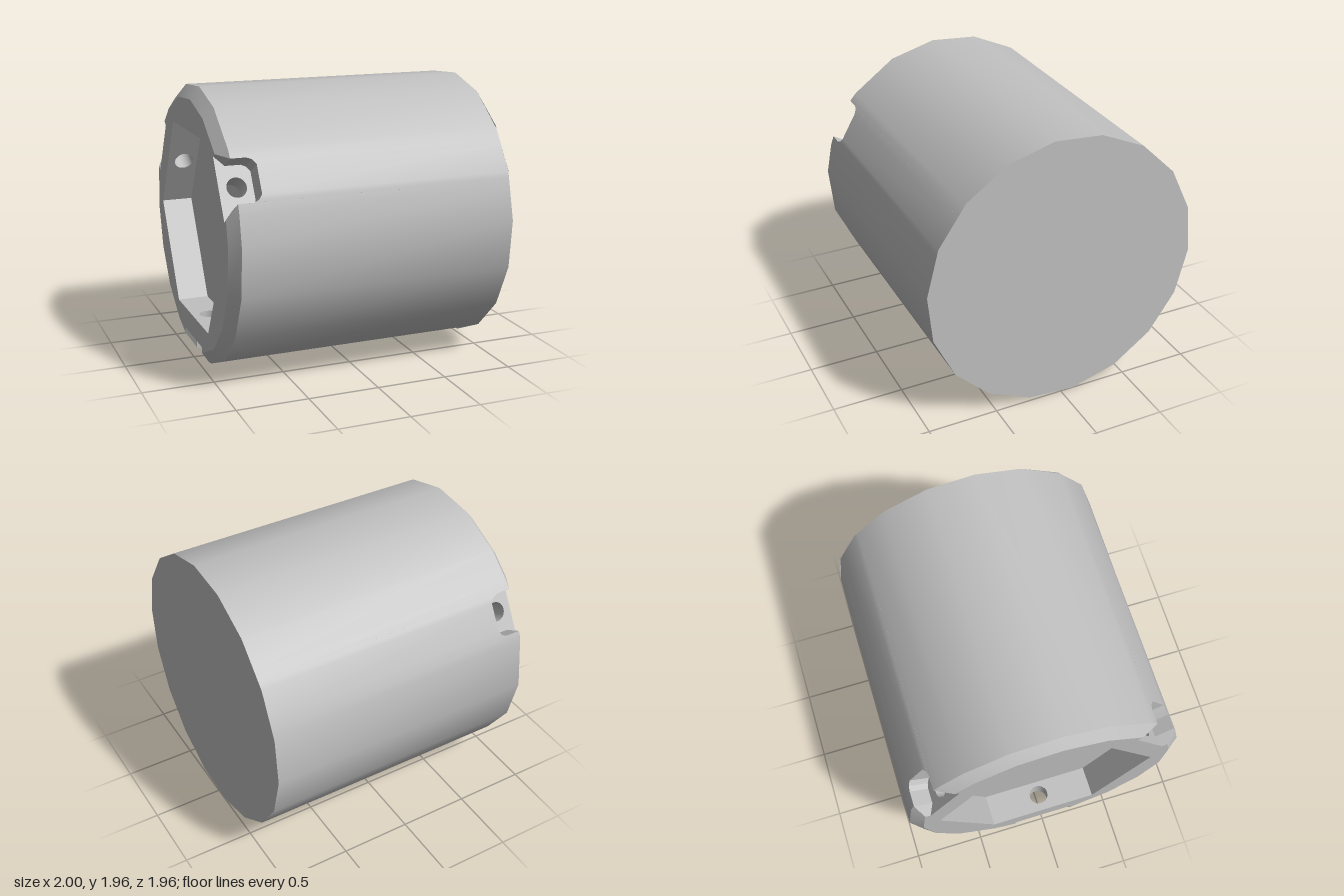
import * as THREE from 'three';
import { toCreasedNormals } from 'three/addons/utils/BufferGeometryUtils.js';

const R = 0.985, RIM = 0.9, CHAMFER_X = -0.935; // barrel radius, end rim radius, chamfer start
const FLOOR = 0.83, POCKET = 0.67, POCKET_X = -0.78; // notch floor, hexagon apothem, pocket depth
const HOLE_X = -0.88, HOLE_R = 0.068;
const rad = THREE.MathUtils.degToRad;
const NOTCHES = [30, 150, 270];

// Notch outline as [sideways offset, x], from one rim corner to the other
const half = [[0.22, -1], [0.15, CHAMFER_X], [0.15, -0.83], [0.135, -0.795], [0.1, -0.77]];
const outline = [...half.map(([t, x]) => [-t, x]), ...half.slice().reverse()];

// Point at distance n along direction a (degrees, from z towards y), shifted sideways by t
function point(x, n, t, a) {
  const c = Math.cos(rad(a)), s = Math.sin(rad(a));
  return new THREE.Vector3(x, n * s + t * c, n * c - t * s);
}

function radiusAt(x) {
  return Math.min(R, RIM + (R - RIM) * (x + 1) / (CHAMFER_X + 1));
}

// One lengthwise column of the barrel, starting at x
function column(x, t, a) {
  const at = (px, r) => point(px, Math.sqrt(r * r - t * t), t, a);
  const angle = a + THREE.MathUtils.radToDeg(Math.asin(t / R));
  const k = THREE.MathUtils.euclideanModulo(angle - 4.5, 20) - 10;
  const farR = R * Math.cos(rad(10)) / Math.cos(rad(k));
  return {
    start: at(x, radiusAt(x)),
    shoulder: at(Math.max(x, CHAMFER_X), R),
    end: point(1, farR, 0, angle),
    floor: point(x, FLOOR, t, a),
  };
}

function quads(list) {
  const pos = [], tri = new THREE.Triangle();
  for (const [a, b, c, d] of list) {
    for (const f of [[a, b, c], [a, c, d]]) {
      tri.set(...f);
      if (tri.getArea() > 1e-7) f.forEach((p) => pos.push(p.x, p.y, p.z));
    }
  }
  const g = new THREE.BufferGeometry();
  g.setAttribute('position', new THREE.Float32BufferAttribute(pos, 3));
  g.computeVertexNormals();
  return g;
}

export function createModel() {
  const model = new THREE.Group();
  model.name = 'notchedCylinder';
  const grey = new THREE.MeshStandardMaterial({ color: 0xc0c0c0, side: THREE.DoubleSide });
  grey.name = 'grey';
  const add = (name, geometry, parent = model) => {
    const m = new THREE.Mesh(geometry, grey);
    m.name = name;
    parent.add(m);
    return m;
  };

  // Columns around the barrel, the notch walls and the outline of the open end
  const columns = [], walls = [], rim = [];
  for (const a of NOTCHES) {
    const notch = outline.map(([t, x]) => column(x, t, a));
    for (let i = 1; i < notch.length; i++) {
      const p = notch[i - 1], q = notch[i];
      walls.push([p.start, p.floor, q.floor, q.start]);
    }
    const first = notch[0], last = notch[notch.length - 1];
    const plain = [34.5, 54.5, 74.5, 94.5].map((d) => column(-1, 0, a + d));
    columns.push(...notch, ...plain);
    rim.push(first.start, first.floor, last.floor, last.start, ...plain.map((c) => c.start));
  }
  const skin = [];
  columns.forEach((p, i) => {
    const q = columns[(i + 1) % columns.length];
    skin.push([p.start, p.shoulder, q.shoulder, q.start], [p.shoulder, p.end, q.end, q.shoulder]);
  });
  add('barrel', toCreasedNormals(quads(skin), 0.6));
  add('notchWalls', quads(walls));

  // Closed end
  const cap = add('closedEnd', new THREE.CircleGeometry(R, 18, rad(15.5)));
  cap.rotation.y = Math.PI / 2;
  cap.position.x = 1;

  // Open end with its hexagonal pocket
  const corner = POCKET / Math.cos(Math.PI / 6);
  const hexagon = [0, 60, 120, 180, 240, 300].map(
    (d) => new THREE.Vector2(corner * Math.cos(rad(d)), corner * Math.sin(rad(d))));
  const rimShape = new THREE.Shape(rim.map((p) => new THREE.Vector2(p.z, p.y)));
  rimShape.holes.push(new THREE.Path(hexagon));
  for (const [name, shape, x] of [['rim', rimShape, -1], ['pocketFloor', new THREE.Shape(hexagon), POCKET_X]]) {
    const m = add(name, new THREE.ShapeGeometry(shape));
    m.rotation.y = -Math.PI / 2;
    m.position.x = x;
  }

  // Pocket walls; every second one is drilled through to a notch
  const drill = () => new THREE.Path().absarc(HOLE_X, 0, HOLE_R, 0, Math.PI * 2, true);
  for (let a = 30; a < 390; a += 60) {
    const side = new THREE.Group();
    side.name = 'pocketSide';
    side.rotation.x = -rad(a);
    model.add(side);
    const w = corner / 2;
    const wall = new THREE.Shape([[-1, -w], [POCKET_X, -w], [POCKET_X, w], [-1, w]].map((p) => new THREE.Vector2(...p)));
    const drilled = NOTCHES.includes(a);
    if (drilled) {
      wall.holes.push(drill());
      const floor = new THREE.Shape(outline.map(([t, x]) => new THREE.Vector2(x, t)));
      floor.holes.push(drill());
      add('notchFloor', new THREE.ShapeGeometry(floor), side).position.z = FLOOR;
      const bore = add('screwHole', new THREE.CylinderGeometry(HOLE_R, HOLE_R, FLOOR - POCKET, 24, 1, true), side);
      bore.rotation.x = Math.PI / 2;
      bore.position.set(HOLE_X, 0, (FLOOR + POCKET) / 2);
    }
    add('pocketWall', new THREE.ShapeGeometry(wall), side).position.z = POCKET;
  }

  model.position.y = R;
  const root = new THREE.Group();
  root.add(model);
  return root;
}
